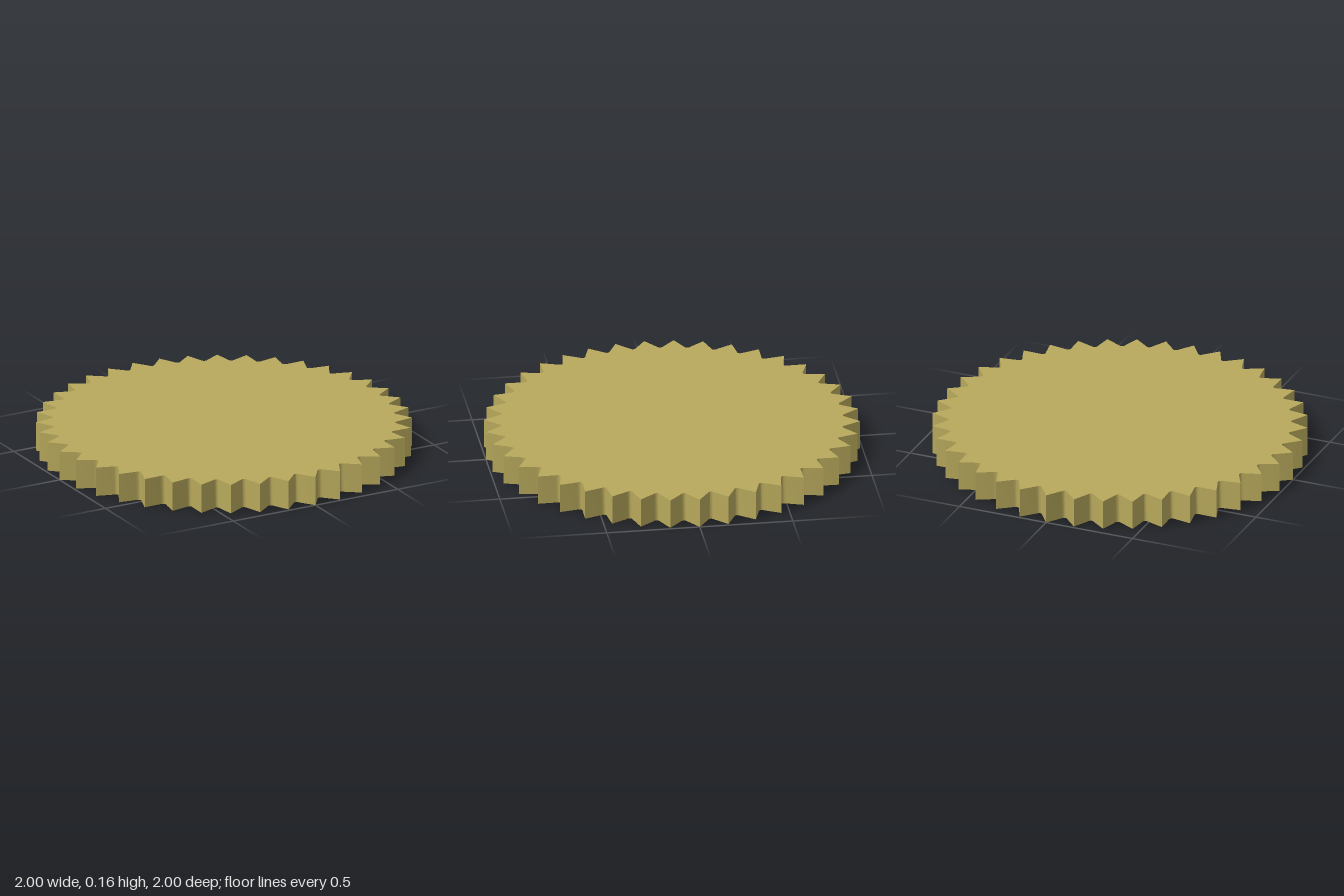
import * as THREE from 'three';
import { toCreasedNormals } from 'three/addons/utils/BufferGeometryUtils.js';

const TEETH = 40;
const TIP = 1;
const HEIGHT = 0.16;

export function createModel() {
  const group = new THREE.Group();
  group.name = 'serratedDisc';
  const brass = new THREE.MeshStandardMaterial({ color: 0xb8a95c });
  brass.name = 'dull brass';

  // Outline: pointed teeth joined by rounded valleys
  const step = (Math.PI * 2) / TEETH;
  const at = (radius, turns) => [radius * Math.cos(turns * step), radius * Math.sin(turns * step)];
  const outline = new THREE.Shape();
  outline.moveTo(...at(TIP, 0));
  for (let i = 0; i < TEETH; i++) {
    outline.lineTo(...at(0.927, i + 0.36));
    outline.quadraticCurveTo(...at(0.893, i + 0.5), ...at(0.927, i + 0.64));
    outline.lineTo(...at(TIP, i + 1));
  }

  // Solid disc lying flat on y = 0
  const geometry = new THREE.ExtrudeGeometry(outline, {
    depth: HEIGHT, bevelEnabled: false, curveSegments: 6,
  });
  geometry.rotateX(-Math.PI / 2);
  const disc = new THREE.Mesh(toCreasedNormals(geometry, 0.7), brass);
  disc.name = 'toothedDisc';
  group.add(disc);
  return group;
}
